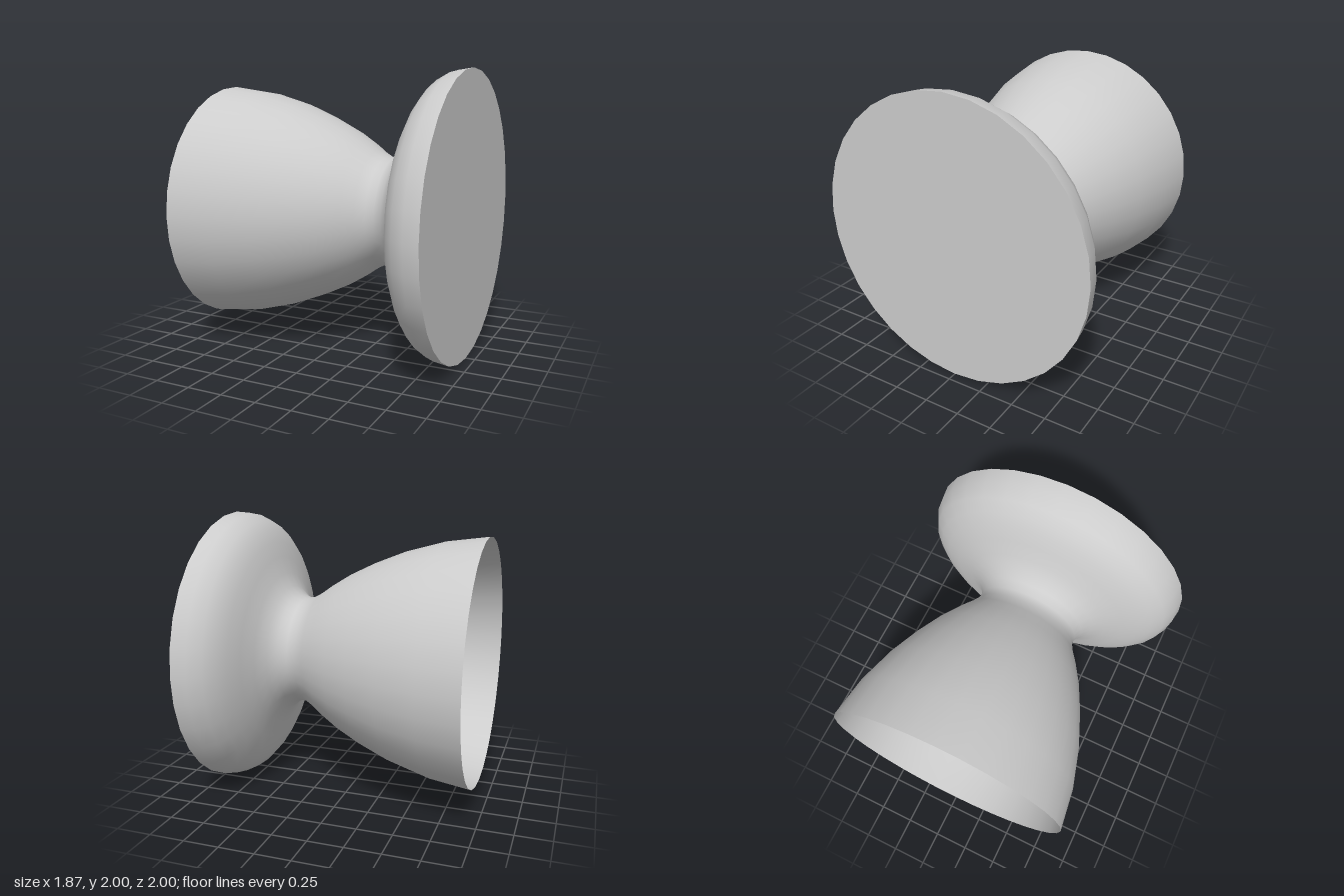
import * as THREE from 'three';

export function createModel() {
  const group = new THREE.Group();
  const grey = new THREE.MeshStandardMaterial({ color: 0xcccccc, side: THREE.DoubleSide });
  grey.name = 'light grey';
  const sides = 32;

  // Profile from cup rim to foot: [position along x, radius]
  const profile = [
    [-0.935, 0.872], [-0.64, 0.832], [-0.36, 0.753], [-0.14, 0.664], [0.04, 0.575],
    [0.18, 0.488], [0.26, 0.43], [0.33, 0.39], [0.39, 0.384], [0.45, 0.411],
    [0.505, 0.465], [0.555, 0.56], [0.595, 0.68], [0.635, 0.785], [0.68, 0.865],
    [0.74, 0.936], [0.83, 0.985], [0.935, 1.0],
  ].map(([x, r]) => new THREE.Vector2(r, x));

  // Open cup, waist and flared foot in one thin turned surface
  const body = new THREE.Mesh(new THREE.LatheGeometry(profile, sides).rotateZ(-Math.PI / 2), grey);
  body.name = 'gobletBody';

  // Flat disc closing the foot
  const base = new THREE.Mesh(new THREE.CircleGeometry(1, sides).rotateY(Math.PI / 2), grey);
  base.name = 'footBase';
  base.position.x = 0.935;

  group.add(body, base);
  group.position.y = 1;
  const model = new THREE.Group();
  model.name = 'goblet';
  group.name = 'turnedGoblet';
  model.add(group);
  return model;
}
